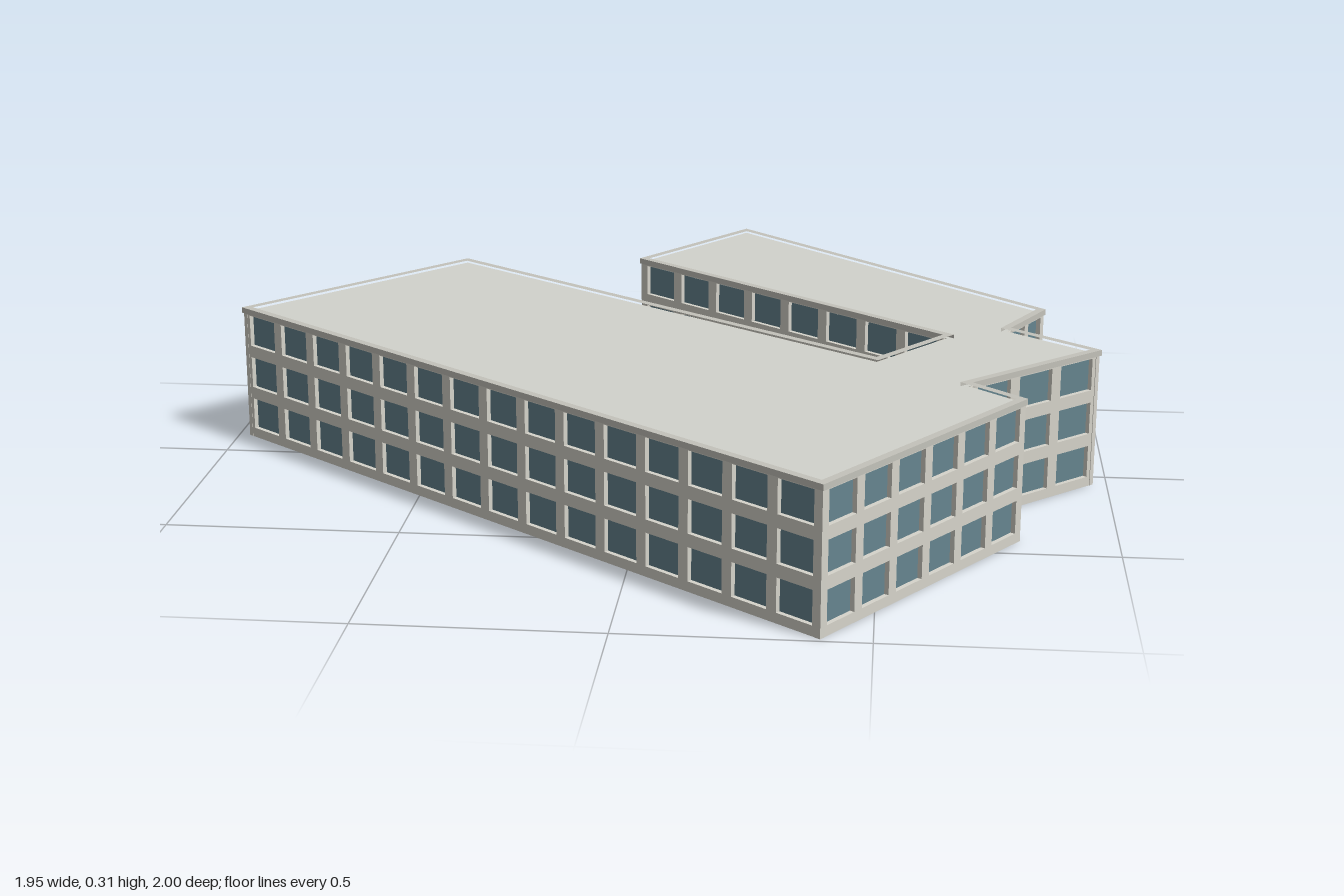
import * as THREE from 'three';

// Footprint corners as [x, z], clockwise seen from above
const OUTLINE = [
  [0.133, -0.997], [0.865, -0.275], [0.78, -0.11], [0.97, 0.05],
  [0.685, 0.32], [0.795, 0.425], [0.4, 0.99], [-0.975, -0.115],
  [-0.537, -0.617], [0.487, 0.155], [0.635, -0.04], [-0.107, -0.663],
];
const WALL_TOP = 0.3, THICK = 0.012, BAY = 0.118, FLOORS = 3;

const mat = (name, color, side = THREE.FrontSide) => {
  const m = new THREE.MeshStandardMaterial({ color, side });
  m.name = name;
  return m;
};

// Moves every corner inward by d with mitred joints
function inset(points, d) {
  const n = points.length;
  const normal = (a, b) => {
    const l = Math.hypot(b[0] - a[0], b[1] - a[1]);
    return [-(b[1] - a[1]) / l, (b[0] - a[0]) / l];
  };
  return points.map((p, i) => {
    const u = normal(points[(i + n - 1) % n], p);
    const v = normal(p, points[(i + 1) % n]);
    const k = d / (1 + u[0] * v[0] + u[1] * v[1]);
    return [p[0] + (u[0] + v[0]) * k, p[1] + (u[1] + v[1]) * k];
  });
}

const toVectors = (points) => points.map(([x, z]) => new THREE.Vector2(x, -z));

// Horizontal slab, or a ring when an inner outline is given
function slab(outer, inner, y0, y1) {
  const shape = new THREE.Shape(toVectors(outer));
  if (inner) shape.holes.push(new THREE.Path(toVectors(inner)));
  const geo = new THREE.ExtrudeGeometry(shape, { depth: y1 - y0, bevelEnabled: false });
  return geo.rotateX(-Math.PI / 2).translate(0, y0, 0);
}

function rectangle(path, x0, y0, x1, y1) {
  path.moveTo(x0, y0);
  path.lineTo(x1, y0);
  path.lineTo(x1, y1);
  path.lineTo(x0, y1);
  path.closePath();
  return path;
}

export function createModel() {
  const wallMat = mat('pale concrete', 0xd6d4cb);
  const roofMat = mat('roof grey', 0xd2d3cc);
  const copingMat = mat('coping grey', 0xc4c3bb);
  const glassMat = mat('blue glass', 0x66858f, THREE.DoubleSide);

  const building = new THREE.Group();
  building.name = 'building';
  const add = (parent, name, geo, material) => {
    const mesh = new THREE.Mesh(geo, material);
    mesh.name = name;
    parent.add(mesh);
  };

  // One facade per footprint edge; local +z points outward
  OUTLINE.forEach((a, i) => {
    const b = OUTLINE[(i + 1) % OUTLINE.length];
    const dx = b[0] - a[0], dz = b[1] - a[1];
    const length = Math.hypot(dx, dz);
    const facade = new THREE.Group();
    facade.name = 'facade';
    facade.position.set(b[0], 0, b[1]);
    facade.rotation.y = Math.atan2(dz, -dx);
    building.add(facade);

    // Wall with a grid of window openings
    const wall = rectangle(new THREE.Shape(), 0, 0, length, WALL_TOP);
    const edge = 0.008;
    const bays = Math.max(1, Math.round(length / BAY));
    const step = (length - 2 * edge) / bays;
    for (let c = 0; c < bays; c++) {
      for (let f = 0; f < FLOORS; f++) {
        const mid = edge + (c + 0.5) * step;
        const half = step * 0.39;
        const y = 0.022 + f * 0.1;
        wall.holes.push(rectangle(new THREE.Path(), mid - half, y, mid + half, y + 0.072));
      }
    }
    const wallGeo = new THREE.ExtrudeGeometry(wall, { depth: THICK, bevelEnabled: false });
    add(facade, 'wall', wallGeo.translate(0, 0, -THICK), wallMat);

    // Glass sheet inside the wall, visible through the openings
    const glass = new THREE.PlaneGeometry(length - 0.01, WALL_TOP - 0.02);
    add(facade, 'windows', glass.translate(length / 2, WALL_TOP / 2, -0.0105), glassMat);
  });

  // Flat roof and raised coping around its edge
  add(building, 'roof', slab(inset(OUTLINE, 0.004), null, 0.294, 0.301), roofMat);
  add(building, 'coping', slab(inset(OUTLINE, -0.003), inset(OUTLINE, 0.015), 0.297, 0.31), copingMat);
  return building;
}
